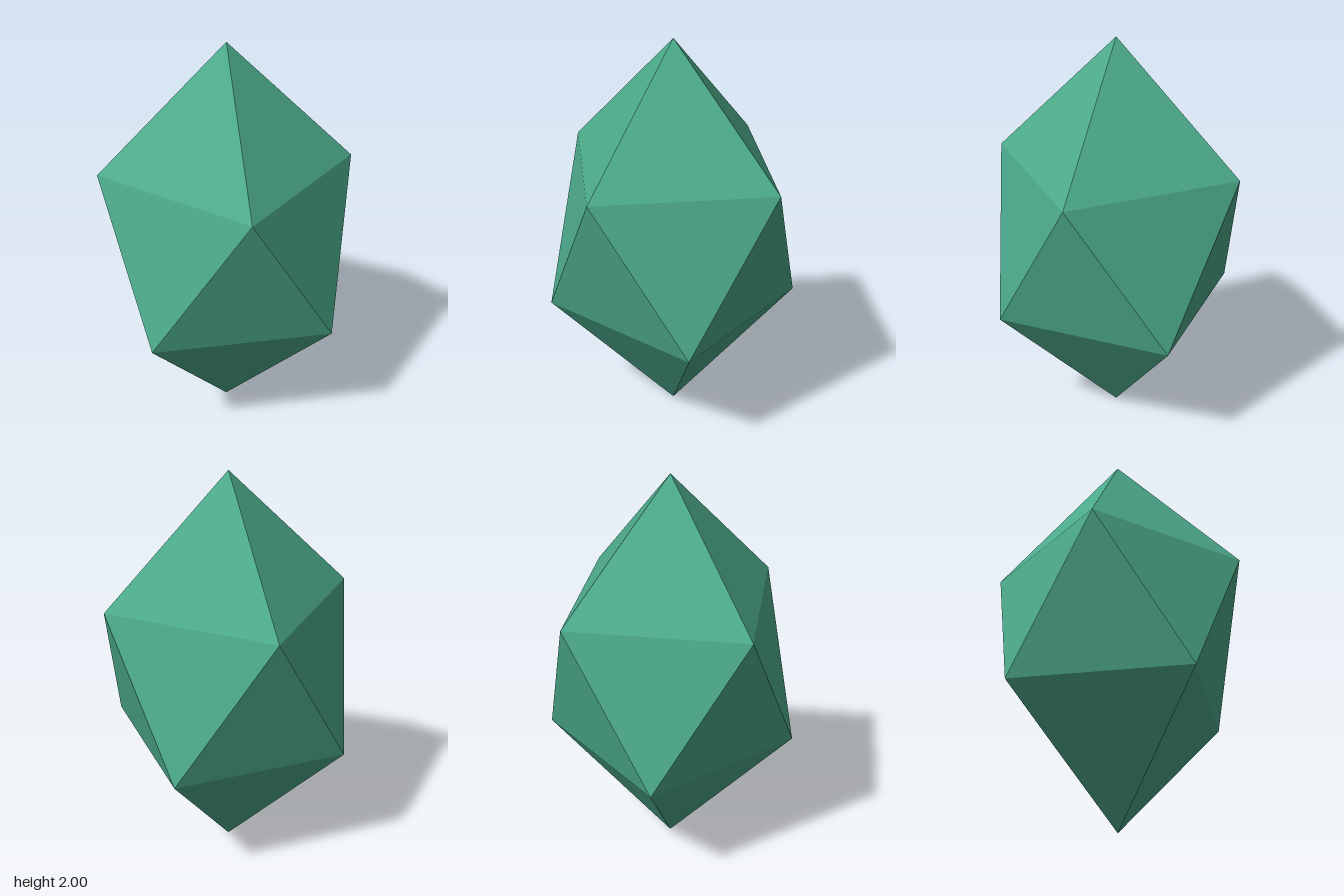
import * as THREE from 'three';

const SIDES = 4;
const RADIUS = 0.625;

// Point on a horizontal ring; angle 0 faces +z and turns towards +x
function ringPoint(step, y) {
  const a = (step / SIDES) * Math.PI * 2;
  return [RADIUS * Math.sin(a), y, RADIUS * Math.cos(a)];
}

export function createModel() {
  const group = new THREE.Group();
  group.name = 'crystal';
  const green = new THREE.MeshStandardMaterial({ color: 0x4dab8c });
  green.name = 'jade green';
  green.flatShading = true;

  // Two square rings, the lower one turned by half a step, closed by two tips
  const top = [0, 2, 0];
  const bottom = [0, 0, 0];
  const crown = [], belt = [], base = [];
  for (let i = 0; i < SIDES; i++) {
    const u0 = ringPoint(i, 1.375), u1 = ringPoint(i + 1, 1.375);
    const l0 = ringPoint(i + 0.5, 0.63), l1 = ringPoint(i + 1.5, 0.63);
    crown.push(...top, ...u0, ...u1);
    belt.push(...u0, ...l0, ...u1, ...l0, ...l1, ...u1);
    base.push(...l0, ...bottom, ...l1);
  }

  // Facet groups, each with flat normals
  for (const [name, points] of Object.entries({ crown, belt, base })) {
    const geometry = new THREE.BufferGeometry();
    geometry.setAttribute('position', new THREE.Float32BufferAttribute(points, 3));
    geometry.computeVertexNormals();
    const mesh = new THREE.Mesh(geometry, green);
    mesh.name = name + 'Facets';
    group.add(mesh);
  }
  return group;
}
